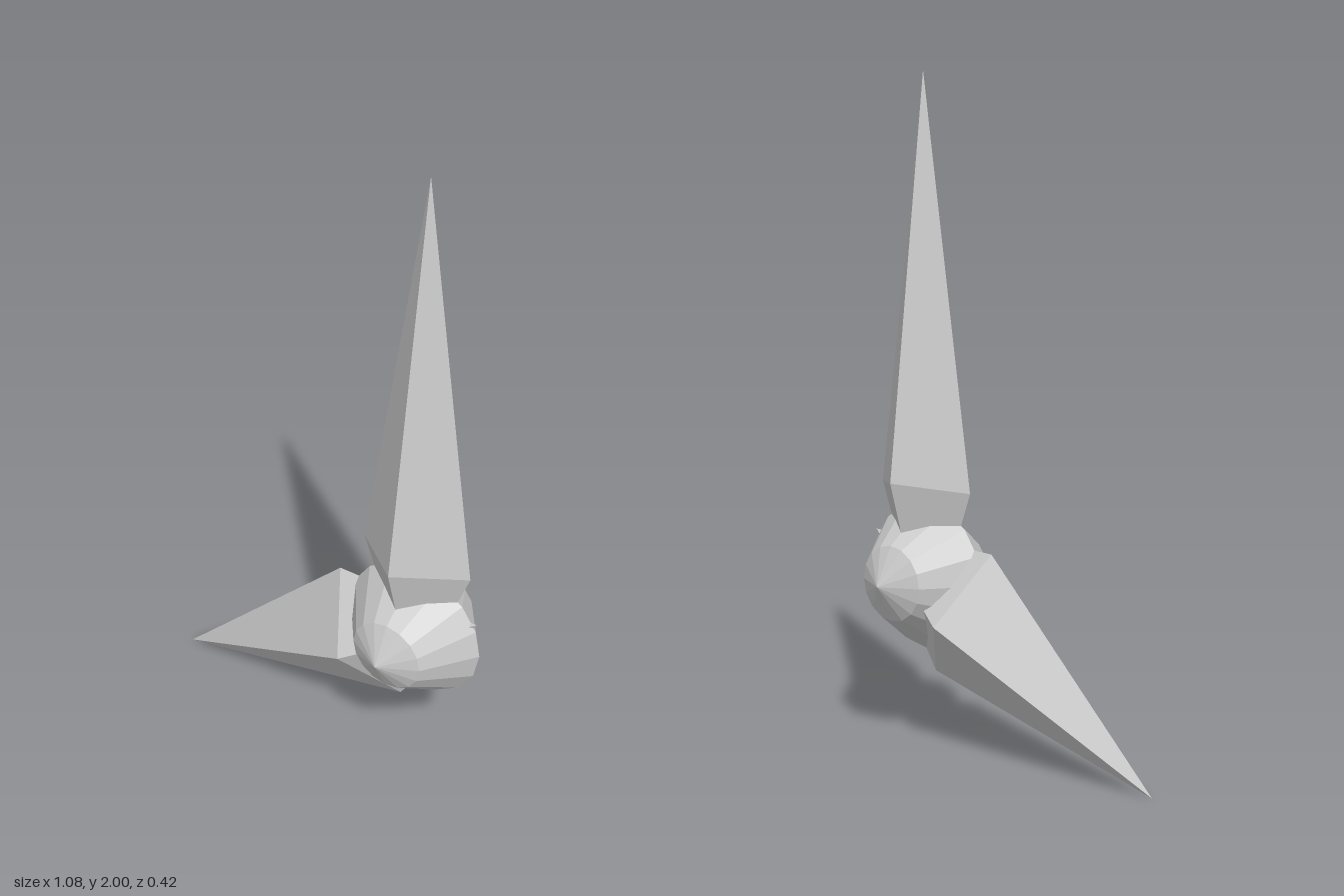
import * as THREE from 'three';

const grey = new THREE.MeshStandardMaterial({ color: 0xcccccc, flatShading: true });
grey.name = 'plain grey';

// Four-sided spike: base point at the origin, tip at y = length,
// with ridge corners at (±wx, yx, 0) and (0, yz, ±wz).
function spike(name, length, wx, yx, wz, yz) {
  const ring = [[wx, yx, 0], [0, yz, wz], [-wx, yx, 0], [0, yz, -wz]];
  const pos = [];
  for (let i = 0; i < 4; i++) {
    const a = ring[i], b = ring[(i + 1) % 4];
    pos.push(...b, ...a, 0, length, 0); // long side
    pos.push(...a, ...b, 0, 0, 0); // short taper into the joint
  }
  const geo = new THREE.BufferGeometry();
  geo.setAttribute('position', new THREE.Float32BufferAttribute(pos, 3));
  geo.computeVertexNormals();
  const mesh = new THREE.Mesh(geo, grey);
  mesh.name = name;
  return mesh;
}

export function createModel() {
  const model = new THREE.Group();
  model.name = 'jointedSpikes';

  // Faceted joint ball with its poles facing front and back
  const profile = [[0, -0.21], [0.114, -0.15], [0.225, 0], [0.114, 0.15], [0, 0.21]];
  const ball = new THREE.Mesh(
    new THREE.LatheGeometry(profile.map(p => new THREE.Vector2(...p)), 16), grey);
  ball.name = 'jointBall';
  ball.rotation.x = Math.PI / 2;
  ball.position.set(0.315, 0.5, 0);
  model.add(ball);

  // Upright spike
  const upper = spike('upperSpike', 1.725, 0.18, 0.495, 0.15, 0.525);
  upper.position.set(0.315, 0.275, 0);
  model.add(upper);

  // Slanted spike, its base point just piercing the far side of the ball
  const from = new THREE.Vector3(0.525, 0.615, 0);
  const axis = new THREE.Vector3(-0.54, 0, 0).sub(from);
  const lower = spike('lowerSpike', axis.length(), 0.225, 0.417, 0.15, 0.44);
  lower.position.copy(from);
  lower.rotation.z = Math.atan2(-axis.x, axis.y);
  model.add(lower);

  return model;
}
